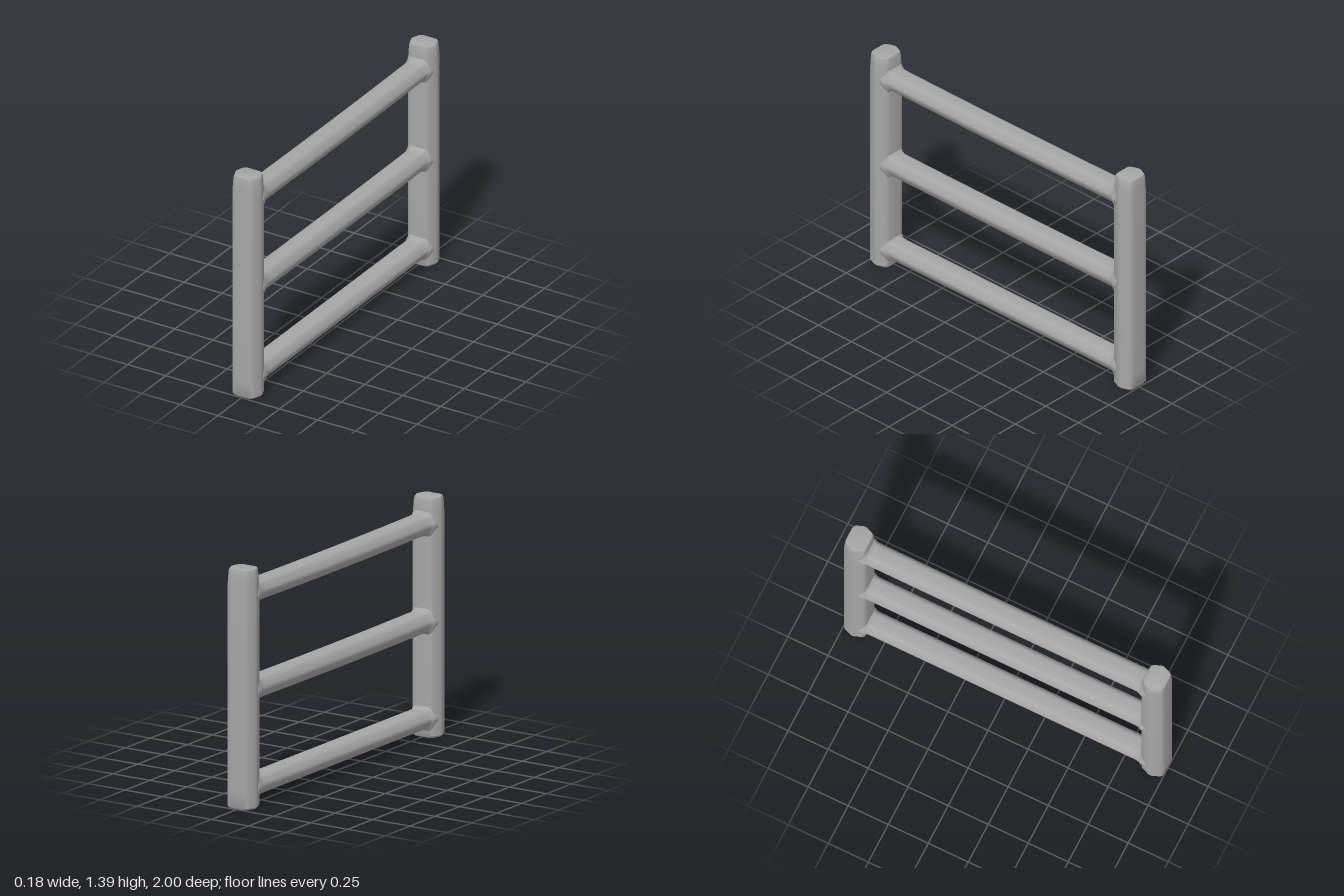
import * as THREE from 'three';
import { toCreasedNormals } from 'three/addons/utils/BufferGeometryUtils.js';

// Hexagon outline with softened corners; x is the wide direction, d the depth
function softHex(flat, wide, half, soft = 0.2) {
  const c = [[wide, 0], [flat, half], [-flat, half], [-wide, 0], [-flat, -half], [flat, -half]];
  const mix = (a, b, t) => [a[0] + (b[0] - a[0]) * t, a[1] + (b[1] - a[1]) * t];
  return c.flatMap((p, i) => {
    const start = mix(p, c[(i + 5) % 6], soft), end = mix(p, c[(i + 1) % 6], soft);
    return [start, mix(mix(start, p, 0.5), mix(p, end, 0.5), 0.5), end];
  });
}

// Skin a series of equal loops of [x, y, z] points and close both ends
function loft(loops) {
  const n = loops[0].length, last = (loops.length - 1) * n, index = [];
  for (let i = 0; i < loops.length - 1; i++) {
    for (let j = 0; j < n; j++) {
      const a = i * n + j, b = i * n + (j + 1) % n;
      index.push(a, b, b + n, a, b + n, a + n);
    }
  }
  for (let j = 1; j < n - 1; j++) {
    index.push(0, j + 1, j, last, last + j, last + j + 1);
  }
  const geometry = new THREE.BufferGeometry();
  geometry.setAttribute('position', new THREE.Float32BufferAttribute(loops.flat(2), 3));
  geometry.setIndex(index);
  return toCreasedNormals(geometry, 0.7);
}

// Upright: [height, x scale, z scale] with eased ends
function postGeometry() {
  const outline = softHex(0.064, 0.092, 0.07);
  const levels = [
    [0, 0.88, 0.88], [0.012, 1, 1], [0.1, 1, 1], [1.27, 1, 1],
    [1.33, 0.97, 0.96], [1.375, 0.92, 0.93], [1.387, 0.87, 0.88], [1.39, 0.78, 0.78],
  ];
  return loft(levels.map(([y, sx, sz]) => outline.map(([x, d]) => [x * sx, y, -d * sz])));
}

// Rail: swells where it meets the posts and sags slightly in the middle
function railGeometry(y, half, sag) {
  const outline = softHex(0.048, 0.077, half);
  const stations = [[0.9, 1.42], [0.865, 1.4], [0.857, 1.18], [0.84, 1.02], [0.8, 1], [0.5, 1], [0.25, 1]];
  const all = [
    ...stations.map(([z, s]) => [-z, s]), [0, 1],
    ...stations.slice().reverse(),
  ];
  return loft(all.map(([z, s]) => {
    const drop = sag * (1 - (z / 0.9) ** 2);
    const sx = 1 + (s - 1) * 0.35;
    return outline.map(([x, d]) => [x * sx, y - drop + d * s, z]);
  }));
}

export function createModel() {
  const model = new THREE.Group();
  model.name = 'railFence';
  const grey = new THREE.MeshStandardMaterial({ color: 0xa6a6a6 });
  grey.name = 'grey';

  const add = (name, geometry) => {
    const mesh = new THREE.Mesh(geometry, grey);
    mesh.name = name;
    model.add(mesh);
    return mesh;
  };

  // Two uprights
  const post = postGeometry();
  add('frontPost', post).position.z = 0.93;
  const back = add('backPost', post);
  back.position.z = -0.93;
  back.rotation.y = Math.PI;

  // Three rails
  add('bottomRail', railGeometry(0.112, 0.054, 0));
  add('middleRail', railGeometry(0.675, 0.058, 0.005));
  add('topRail', railGeometry(1.238, 0.055, 0.006));
  return model;
}
